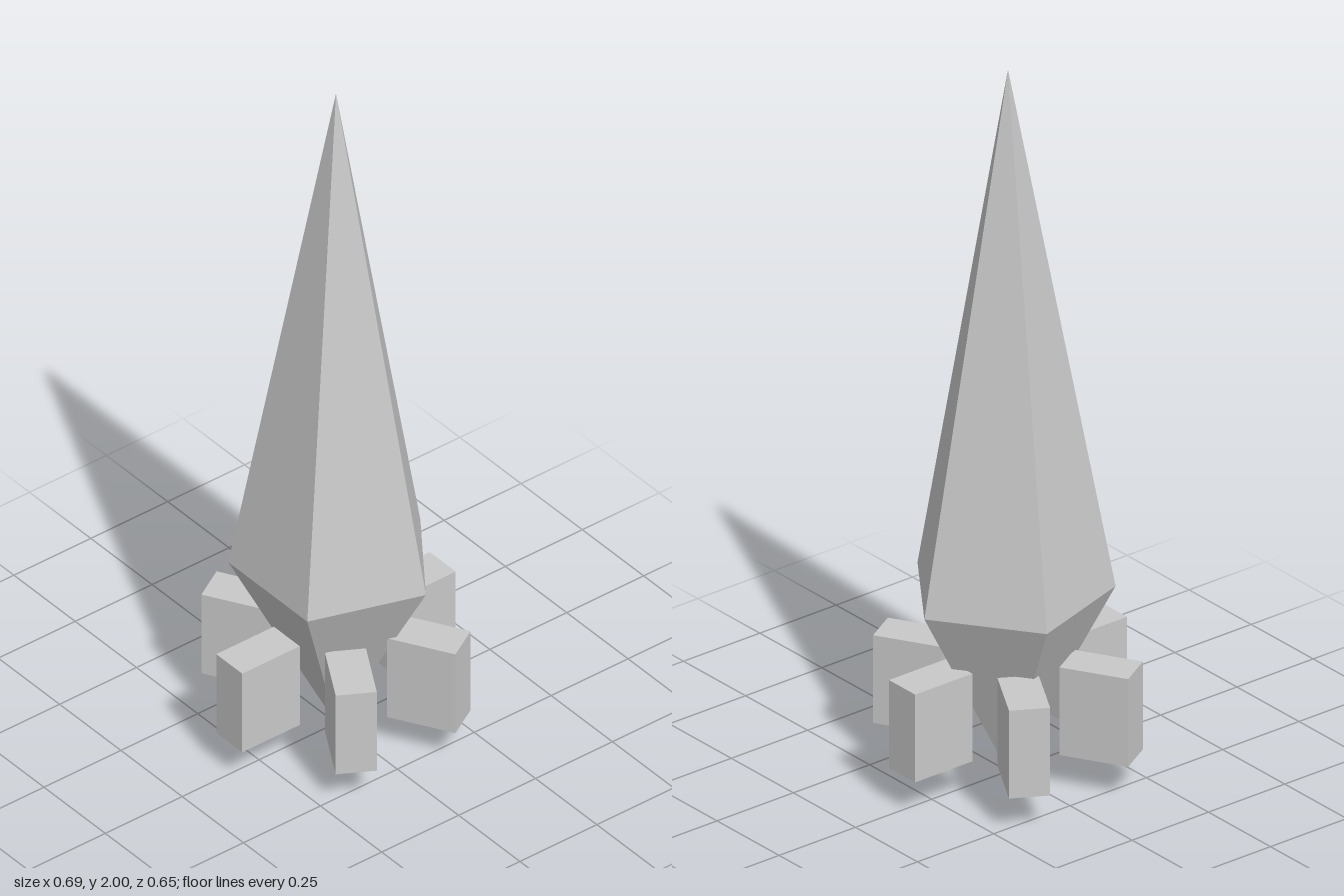
import * as THREE from 'three';

export function createModel() {
  const model = new THREE.Group();
  const grey = new THREE.MeshStandardMaterial({ color: 0xc8c8c8, flatShading: true });
  grey.name = 'lightGrey';

  const radius = 0.274, waist = 0.52, height = 2;

  // Five-sided body: a tall upper spire and a short lower point, one corner on +x
  const cone = (name, bottom, top, y0, y1) => {
    const geometry = new THREE.CylinderGeometry(top, bottom, y1 - y0, 5, 1, true, Math.PI / 2);
    const mesh = new THREE.Mesh(geometry, grey);
    mesh.name = name;
    mesh.position.y = (y0 + y1) / 2;
    model.add(mesh);
  };
  cone('upperSpire', radius, 0, waist, height);
  cone('lowerPoint', 0, radius, 0, waist);

  // Six block fins around the lower point
  const inner = 0.16, outer = 0.347;
  const finGeometry = new THREE.BoxGeometry(outer - inner, 0.25, 0.106);
  finGeometry.translate((inner + outer) / 2, 0.225, 0);
  for (let i = 0; i < 6; i++) {
    const fin = new THREE.Mesh(finGeometry, grey);
    fin.name = 'fin' + (i + 1);
    fin.rotation.y = (i * Math.PI) / 3;
    model.add(fin);
  }
  return model;
}
